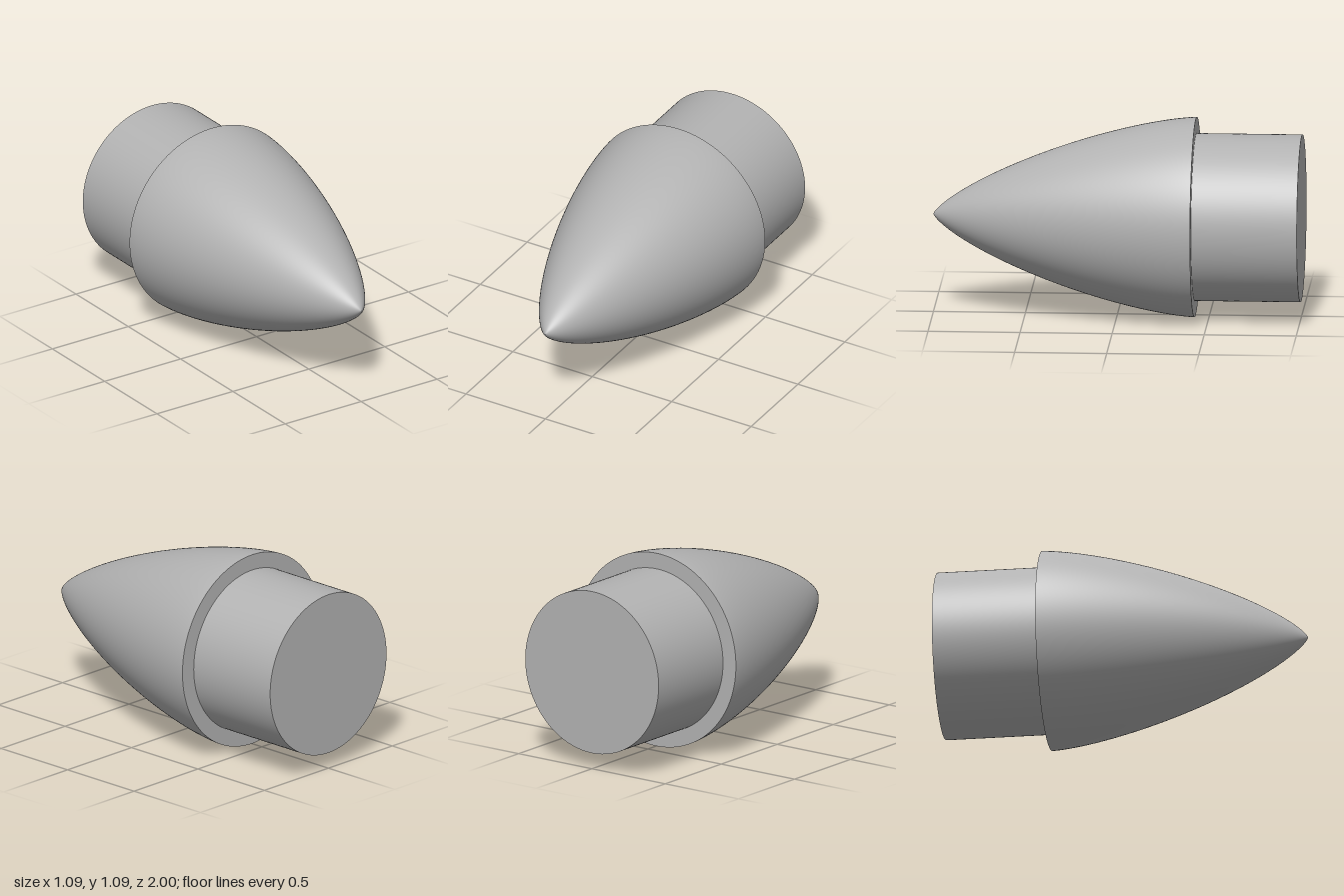
import * as THREE from 'three';

const SEGMENTS = 128;
const R = 0.543;        // largest radius of the nose
const R_PLUG = 0.455;   // radius of the rear shoulder
const Z_BASE = -0.425;  // where nose and shoulder meet
const Z_TIP = 1, Z_BACK = -1;

export function createModel() {
  const model = new THREE.Group();
  model.name = 'noseCone';
  const grey = new THREE.MeshStandardMaterial({ color: 0xb2b2b2 });
  grey.name = 'grey';

  // Turns a (radius, z) profile, listed back to front, about the long axis
  const addTurned = (name, points) => {
    const geometry = new THREE.LatheGeometry(points, SEGMENTS);
    geometry.rotateX(Math.PI / 2);
    const mesh = new THREE.Mesh(geometry, grey);
    mesh.name = name;
    mesh.position.y = R;
    model.add(mesh);
  };
  const p = (r, z) => new THREE.Vector2(r, z);

  // Ogive following the minimum-drag curve, dense near the tip
  const ogive = [];
  const steps = 64;
  for (let i = 0; i <= steps; i++) {
    const t = Math.PI * (1 - i / steps);
    const r = R * Math.sqrt(Math.max(0, t - Math.sin(2 * t) / 2) / Math.PI);
    ogive.push(p(r, Z_TIP - (Z_TIP - Z_BASE) * (1 - Math.cos(t)) / 2));
  }
  addTurned('noseOgive', ogive);

  // Flat step between nose and shoulder
  addTurned('baseRing', [p(R_PLUG, Z_BASE), p(R, Z_BASE)]);

  // Shoulder and its closed back
  addTurned('shoulder', [p(R_PLUG, Z_BACK), p(R_PLUG, Z_BASE)]);
  addTurned('backCap', [p(0, Z_BACK), p(R_PLUG, Z_BACK)]);

  return model;
}
